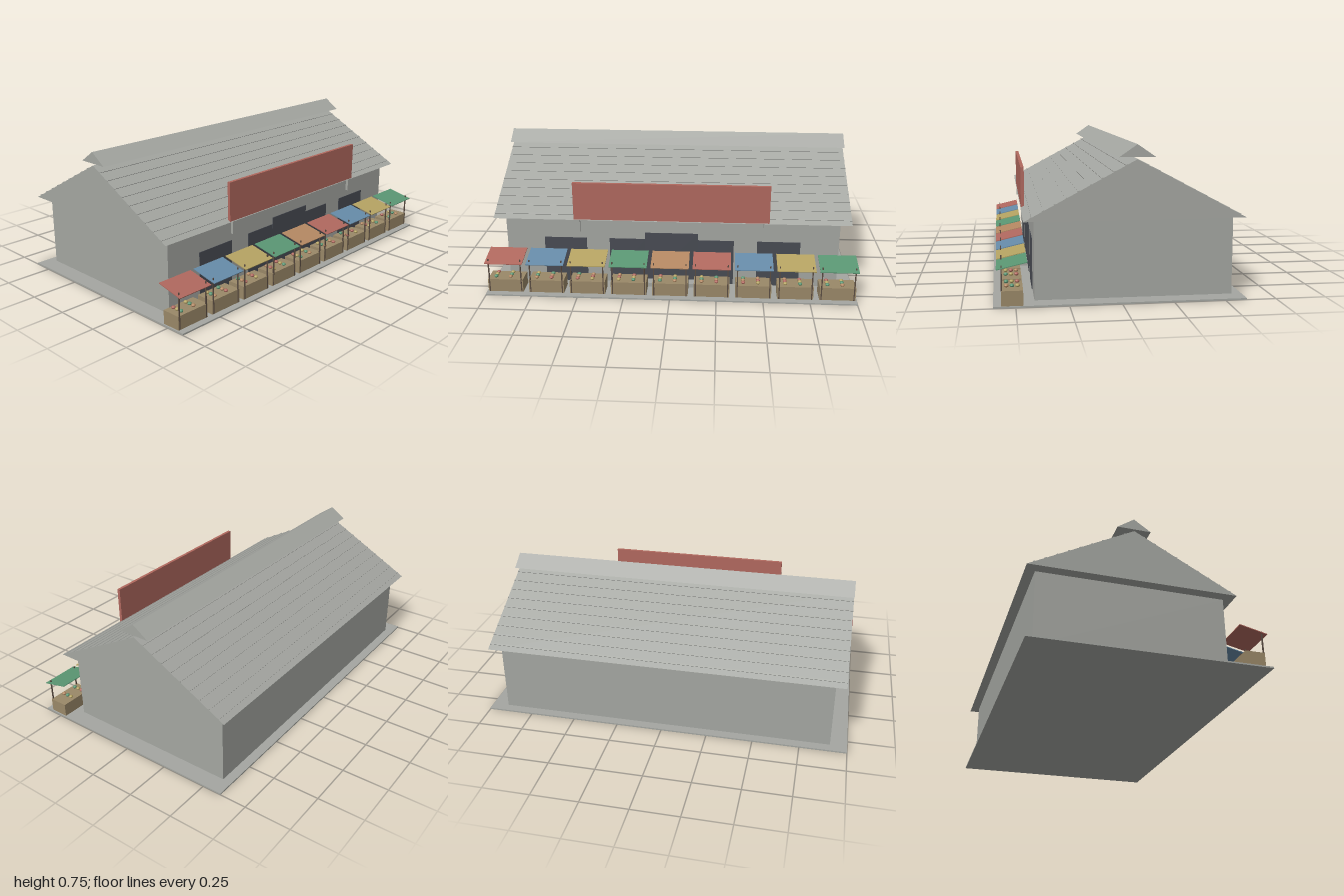
import * as THREE from 'three';

const mat = (name, color) => {
  const m = new THREE.MeshStandardMaterial({ color });
  m.name = name;
  return m;
};

export function createModel() {
  const root = new THREE.Group();
  root.name = 'marketHall';

  const grey = mat('concreteGrey', 0xa4a6a1);
  const dark = mat('doorDark', 0x484b53);
  const wood = mat('counterWood', 0x9a8868);
  const pole = mat('poleBrown', 0x5a4c42);
  const red = mat('red', 0xb0685e);
  const blue = mat('blue', 0x668ba8);
  const yellow = mat('yellow', 0xb5a362);
  const green = mat('green', 0x5a9673);
  const orange = mat('orange', 0xb48862);

  // Box given by its minimum and maximum corners
  const box = (name, m, x0, x1, y0, y1, z0, z1, parent = root) => {
    const mesh = new THREE.Mesh(new THREE.BoxGeometry(x1 - x0, y1 - y0, z1 - z0), m);
    mesh.position.set((x0 + x1) / 2, (y0 + y1) / 2, (z0 + z1) / 2);
    mesh.name = name;
    parent.add(mesh);
    return mesh;
  };

  // Triangular prism running along z
  const prism = (name, x0, xMid, x1, y0, y1, halfZ) => {
    const shape = new THREE.Shape();
    shape.moveTo(x0, y0);
    shape.lineTo(x1, y0);
    shape.lineTo(xMid, y1);
    shape.closePath();
    const geo = new THREE.ExtrudeGeometry(shape, { depth: halfZ * 2, bevelEnabled: false });
    geo.translate(0, 0, -halfZ);
    const mesh = new THREE.Mesh(geo, grey);
    mesh.name = name;
    root.add(mesh);
  };

  // Ground slab, hall and roof
  box('groundSlab', grey, -0.605, 0.605, 0, 0.008, -1, 1);
  box('hallWalls', grey, -0.555, 0.41, 0.008, 0.395, -0.91, 0.91);
  const ridgeX = -0.0725, eaveY = 0.395, ridgeY = 0.68, halfW = 0.5325, roofZ = 0.965;
  prism('mainRoof', ridgeX - halfW, ridgeX, ridgeX + halfW, eaveY, ridgeY, roofZ);
  prism('ridgeVent', ridgeX - 0.087, ridgeX, ridgeX + 0.087, 0.69, 0.75, roofZ);

  // Thin ribs along both roof slopes
  const slope = Math.atan2(ridgeY - eaveY, halfW);
  for (const side of [-1, 1]) {
    for (let i = 0; i < 9; i++) {
      const t = (i + 0.6) / 9.5;
      const rib = new THREE.Mesh(new THREE.BoxGeometry(0.009, 0.006, roofZ * 2), grey);
      rib.position.set(ridgeX + side * halfW * (1 - t), eaveY + (ridgeY - eaveY) * t, 0);
      rib.rotation.z = -side * slope;
      rib.name = 'roofRib';
      root.add(rib);
    }
  }

  // Entrances and step
  box('centreDoor', dark, 0.41, 0.414, 0.008, 0.308, -0.145, 0.145);
  for (const s of [-1, 1]) {
    box('innerDoor', dark, 0.41, 0.413, 0.008, 0.27, s * 0.2425 - 0.0985, s * 0.2425 + 0.0985);
    box('outerDoor', dark, 0.41, 0.413, 0.008, 0.27, s * 0.585 - 0.117, s * 0.585 + 0.117);
  }
  box('entranceStep', grey, 0.41, 0.465, 0.008, 0.03, -0.18, 0.18);

  // Blank signboard on two brackets
  box('signBoard', red, 0.44, 0.457, 0.397, 0.605, -0.527, 0.527);
  for (const s of [-1, 1]) {
    box('signBracket', grey, 0.441, 0.456, 0.325, 0.4, s * 0.5 - 0.006, s * 0.5 + 0.006);
  }

  // Row of stalls with sloping awnings and produce
  const awnings = [red, blue, yellow, green, orange];
  const produce = [red, yellow, green, orange];
  const fruitGeo = new THREE.SphereGeometry(0.011, 10, 8);
  for (let i = 0; i < 9; i++) {
    const stall = new THREE.Group();
    stall.name = 'stall';
    stall.position.z = 0.897 - i * 0.2243;
    root.add(stall);
    box('counter', wood, 0.465, 0.567, 0.008, 0.08, -0.096, 0.096, stall);

    const awning = new THREE.Mesh(new THREE.BoxGeometry(0.148, 0.004, 0.204), awnings[i % 5]);
    awning.position.set(0.5165, 0.198, 0);
    awning.rotation.z = -0.226;
    awning.name = 'awning';
    stall.add(awning);

    for (const s of [-1, 1]) {
      box('awningPole', pole, 0.562, 0.568, 0.008, 0.199, s * 0.087 - 0.003, s * 0.087 + 0.003, stall);
    }
    [0.055, -0.025].forEach((z, row) => {
      for (let c = 0; c < 3; c++) {
        const fruit = new THREE.Mesh(fruitGeo, produce[(c + row + i) % 4]);
        fruit.position.set(0.489 + c * 0.0265, 0.088, z);
        fruit.scale.y = 0.75;
        fruit.name = 'produce';
        stall.add(fruit);
      }
    });
  }
  return root;
}
